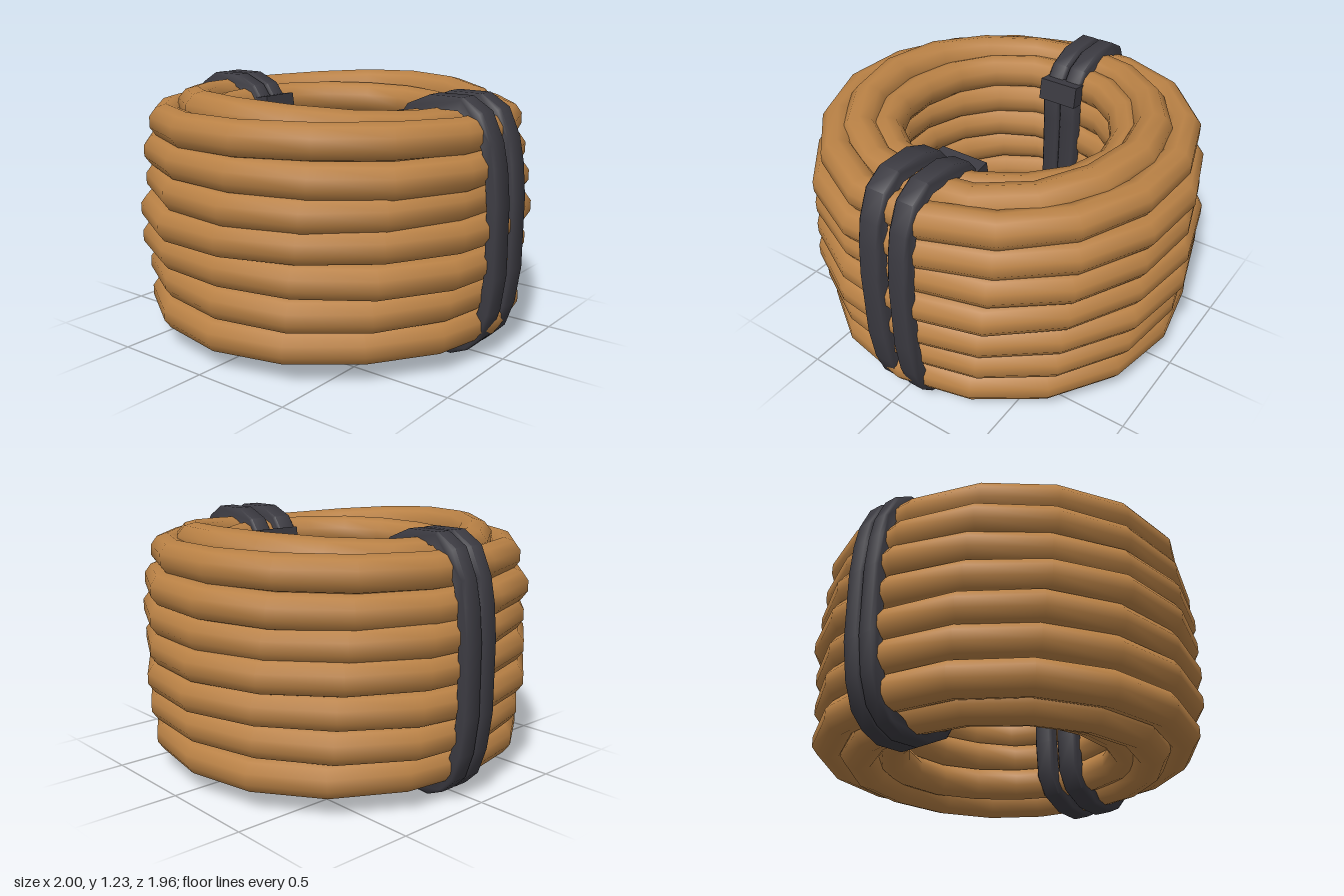
import * as THREE from 'three';
import { toCreasedNormals } from 'three/addons/utils/BufferGeometryUtils.js';

const ropeMat = new THREE.MeshStandardMaterial({ color: 0xb98145 });
ropeMat.name = 'tan rope';
const strapMat = new THREE.MeshStandardMaterial({ color: 0x3b3a41 });
strapMat.name = 'dark strap';

// One turn of rope: a slightly uneven closed loop with few segments.
// tilt raises the -x side, sag lowers both sides under the straps.
function ropeTurn(name, radius, y, thickness, seed, tilt = 0, sag = 0) {
  const pts = [];
  const n = 15;
  for (let i = 0; i < n; i++) {
    const a = (i / n) * Math.PI * 2 + seed * 0.37;
    const r = radius + 0.01 * Math.sin(3 * a + seed * 2.1) + 0.005 * Math.sin(5 * a + seed);
    const h = y + 0.006 * Math.sin(2 * a + seed * 1.7) - tilt * Math.cos(a) - sag * Math.cos(2 * a);
    pts.push(new THREE.Vector3(Math.cos(a) * r, h, Math.sin(a) * r));
  }
  const curve = new THREE.CatmullRomCurve3(pts, true);
  const mesh = new THREE.Mesh(new THREE.TubeGeometry(curve, 16, thickness, 10, true), ropeMat);
  mesh.name = name;
  return mesh;
}

// Outline of a strap wrapped round the coil's cross-section
const strapOutline = [
  [0.42, 1.06], [0.51, 1.18], [0.63, 1.23], [0.8, 1.23], [0.9, 1.17], [0.96, 1.04], [0.985, 0.92],
  [1.0, 0.76], [1.0, 0.42], [0.975, 0.24], [0.93, 0.11], [0.86, 0.04], [0.77, 0.0], [0.62, 0.008],
  [0.5, 0.07], [0.44, 0.17], [0.425, 0.35], [0.425, 0.6], [0.425, 0.9],
].map(([x, y]) => new THREE.Vector2(x, y));

// A flat band with rounded edges; lean tips it along z with height
function strap(z, width, lean) {
  const shape = new THREE.Shape(strapOutline);
  const inner = strapOutline.map((p) => new THREE.Vector2(0.71 + (p.x - 0.71) * 0.84, 0.62 + (p.y - 0.62) * 0.92));
  shape.holes.push(new THREE.Path(inner));
  const bevel = 0.012;
  const geo = new THREE.ExtrudeGeometry(shape, {
    depth: width - 2 * bevel, bevelThickness: bevel, bevelSize: bevel, bevelOffset: -bevel, bevelSegments: 1,
  });
  const pos = geo.attributes.position;
  for (let i = 0; i < pos.count; i++) {
    pos.setZ(i, pos.getZ(i) - width / 2 + bevel + z + lean * (pos.getY(i) - 0.62));
  }
  const mesh = new THREE.Mesh(toCreasedNormals(geo, 0.9), strapMat);
  mesh.name = 'strap';
  return mesh;
}

// Two bands and the clasp on the inner rim
function tie(name, bands, claspZ, claspWidth) {
  const group = new THREE.Group();
  group.name = name;
  for (const [z, width, lean] of bands) group.add(strap(z, width, lean));
  const clasp = new THREE.Mesh(new THREE.BoxGeometry(0.075, 0.11, claspWidth), strapMat);
  clasp.name = 'clasp';
  clasp.position.set(0.438, 1.07, claspZ);
  clasp.rotation.z = -0.15;
  group.add(clasp);
  return group;
}

export function createModel() {
  const model = new THREE.Group();
  model.name = 'ropeCoil';
  const coil = new THREE.Group();
  coil.name = 'coil';
  model.add(coil);

  // Outer wall, bottom to top
  const outer = [[0.868, 0.17], [0.88, 0.33], [0.896, 0.48], [0.902, 0.635], [0.888, 0.78], [0.882, 0.92], [0.847, 1.07]];
  outer.forEach(([r, y], i) => coil.add(ropeTurn('outerTurn', r, y, 0.086, i + 1)));

  // Inner wall
  for (let i = 0; i < 7; i++) {
    coil.add(ropeTurn('innerTurn', 0.585 - 0.008 * Math.sin(i * 2), 0.16 + i * 0.152, 0.086, i + 9));
  }

  // Top and bottom turns
  coil.add(ropeTurn('topTurn', 0.71, 1.112, 0.095, 17, 0.012, 0.018));
  coil.add(ropeTurn('bottomTurn', 0.72, 0.115, 0.094, 19, 0.003));

  model.add(tie('leftTie', [[0.055, 0.118, 0.015], [-0.1, 0.108, 0]], -0.04, 0.25));
  const right = tie('rightTie', [[0.08, 0.098, 0.01], [-0.018, 0.095, 0]], 0.035, 0.21);
  right.rotation.y = Math.PI;
  model.add(right);
  return model;
}
